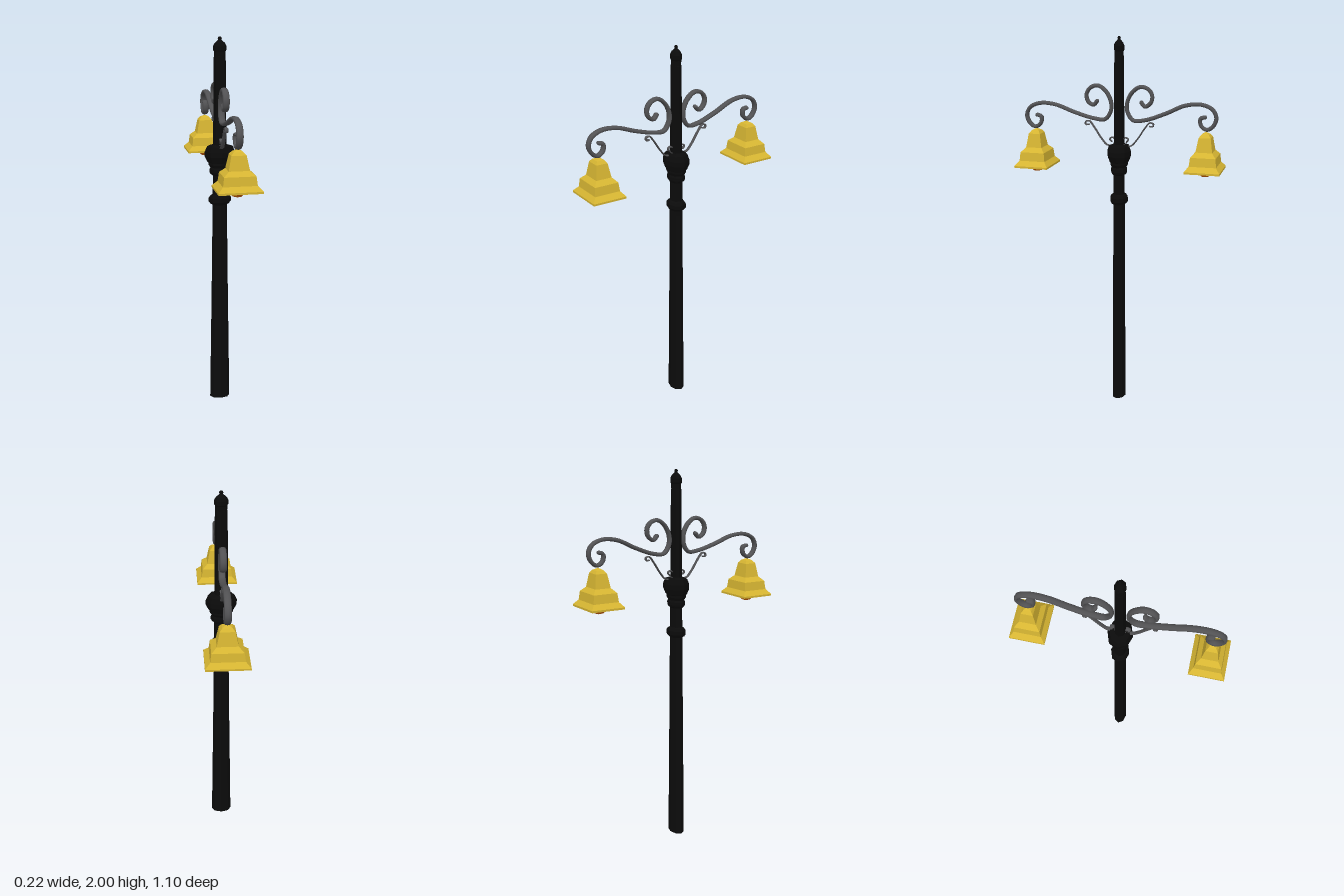
import * as THREE from 'three';

const mat = (color, extra = {}) => new THREE.MeshStandardMaterial({ color, ...extra });
const black = mat(0x0b0b0b, { flatShading: true });
const iron = mat(0x525254);
const brass = mat(0xd6b532, { flatShading: true });
const amber = mat(0xd9690c, { flatShading: true });

function add(parent, name, geometry, material) {
  const mesh = new THREE.Mesh(geometry, material);
  mesh.name = name;
  parent.add(mesh);
  return mesh;
}

const lathe = (profile, sides, start = 0) =>
  new THREE.LatheGeometry(profile.map(([r, y]) => new THREE.Vector2(r, y)), sides, start);

// Flat-section scroll in the z-y plane: a round tube widened along x, with domed ends
function scroll(parent, name, path, radius, widen, steps) {
  const points = path.map(([z, y]) => new THREE.Vector3(0, y, z));
  const bar = new THREE.Group();
  bar.name = name;
  bar.scale.x = widen;
  parent.add(bar);
  add(bar, name + 'Bar', new THREE.TubeGeometry(new THREE.CatmullRomCurve3(points), steps, radius, 8), iron);
  for (const end of [points[0], points[points.length - 1]]) {
    add(bar, name + 'End', new THREE.SphereGeometry(radius, 8, 6), iron).position.copy(end);
  }
}

// Scroll paths as [distance from pole, height]
const armPath = [
  [0.118, 1.666], [0.138, 1.645], [0.168, 1.664], [0.175, 1.7], [0.155, 1.733], [0.113, 1.746],
  [0.07, 1.717], [0.044, 1.666], [0.044, 1.618], [0.075, 1.573], [0.138, 1.575], [0.243, 1.603],
  [0.349, 1.639], [0.434, 1.643], [0.49, 1.618], [0.508, 1.575], [0.49, 1.533], [0.46, 1.517],
  [0.43, 1.538], [0.428, 1.573], [0.45, 1.58],
];
const bracePath = [
  [0.164, 1.542], [0.18, 1.54], [0.182, 1.555], [0.162, 1.56], [0.138, 1.533], [0.095, 1.47],
  [0.064, 1.438], [0.034, 1.438], [0.018, 1.46], [0.034, 1.48], [0.05, 1.47], [0.04, 1.457],
];

// Square bell shade: half-depths and heights
const shadeProfile = [
  [0, 1.308], [0.091, 1.308], [0.091, 1.318], [0.07, 1.343], [0.065, 1.388], [0.043, 1.411],
  [0.031, 1.483], [0.02, 1.498], [0, 1.51],
];

function lamp(name) {
  const group = new THREE.Group();
  group.name = name;
  const square = shadeProfile.map(([r, y]) => [r * Math.SQRT2, y]);
  add(group, 'shade', lathe(square, 4, Math.PI / 4), brass).scale.x = 1.2;
  const bulb = add(group, 'bulb', new THREE.SphereGeometry(0.046, 8, 6), amber);
  bulb.position.y = 1.32;
  return group;
}

export function createModel() {
  const model = new THREE.Group();
  model.name = 'streetLamp';

  // Tapered octagonal pole, flatter front to back towards the foot
  const pole = lathe([
    [0, 0], [0.055, 0], [0.052, 0.2], [0.045, 0.65], [0.039, 1.1], [0.036, 1.4], [0.031, 1.9], [0, 1.9],
  ], 8);
  const pos = pole.attributes.position;
  for (let i = 0; i < pos.count; i++) {
    const t = Math.min(pos.getY(i) / 1.2, 1);
    pos.setZ(i, pos.getZ(i) * (0.68 + 0.14 * t));
  }
  pole.computeVertexNormals();
  add(model, 'pole', pole, black);

  // Collars and finial
  const rings = {
    lowerRing: [[0.035, 1.12], [0.051, 1.128], [0.06, 1.14], [0.06, 1.16], [0.051, 1.172], [0.035, 1.18]],
    neckCollar: [[0.036, 1.28], [0.05, 1.29], [0.055, 1.3], [0.055, 1.315], [0.05, 1.325], [0.06, 1.34],
      [0.06, 1.36], [0.036, 1.37]],
    mainCollar: [[0.05, 1.345], [0.066, 1.355], [0.08, 1.385], [0.08, 1.41], [0.068, 1.437], [0.034, 1.446]],
    finial: [[0.029, 1.9], [0.03, 1.925], [0.035, 1.932], [0.035, 1.952], [0.026, 1.968], [0.012, 1.98],
      [0.008, 1.984], [0.011, 1.99], [0.008, 1.997], [0, 2]],
  };
  for (const [name, profile] of Object.entries(rings)) {
    add(model, name, lathe(profile, 8), black).scale.z = 0.8;
  }

  // Mirrored arms; the back one rises slightly more at its tip
  for (const [side, s, rise] of [['front', 1, 0], ['back', -1, 0.024]]) {
    const lift = (z) => rise * THREE.MathUtils.smoothstep(z, 0.1, 0.42);
    const place = (path) => path.map(([z, y]) => [s * z, y + lift(z)]);
    scroll(model, side + 'Arm', place(armPath), 0.0105, 1.7, 120);
    scroll(model, side + 'Brace', place(bracePath), 0.004, 2.5, 70);
    const hanging = lamp(side + 'Lamp');
    hanging.position.set(0, rise * 0.85, s * 0.457);
    model.add(hanging);
  }
  return model;
}
